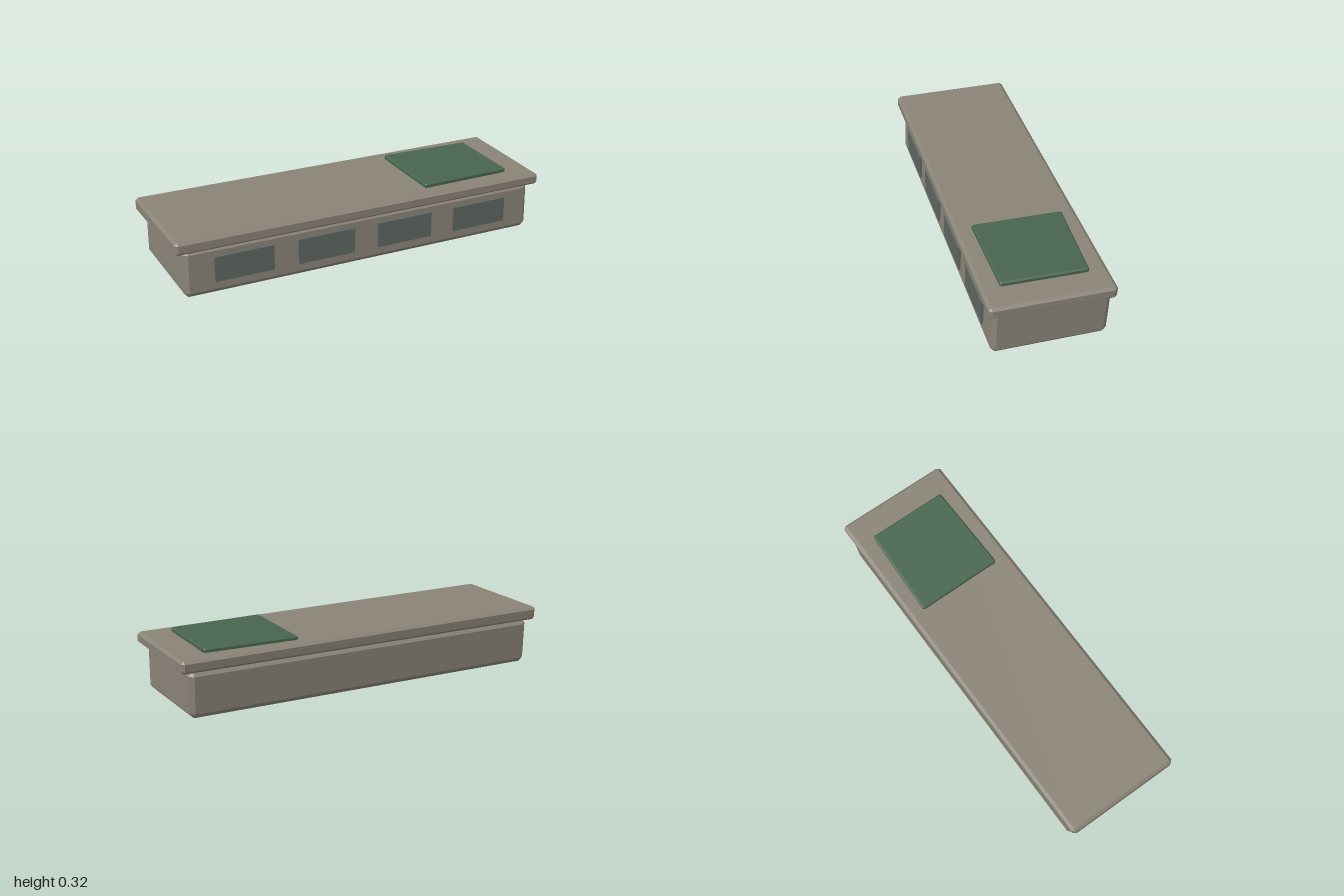
import * as THREE from 'three';
import { ConvexGeometry } from 'three/addons/geometries/ConvexGeometry.js';

// Chamfered, slightly irregular block: corner(sx, sy, sz) places each of the eight corners
function chiselledBlock(corner, bevel) {
  const points = [];
  for (const sx of [-1, 1]) for (const sy of [-1, 1]) for (const sz of [-1, 1]) {
    const [x, y, z] = corner(sx, sy, sz);
    const ix = x - sx * bevel[0], iy = y - sy * bevel[1], iz = z - sz * bevel[2];
    points.push(
      new THREE.Vector3(x, iy, iz),
      new THREE.Vector3(ix, y, iz),
      new THREE.Vector3(ix, iy, z),
    );
  }
  return new ConvexGeometry(points);
}

export function createModel() {
  const group = new THREE.Group();
  const material = (name, color) => {
    const m = new THREE.MeshStandardMaterial({ color });
    m.name = name;
    return m;
  };
  const stone = material('warm grey stone', 0x8a8377);
  const cloth = material('dark green', 0x47654e);
  const panelGrey = material('slate green panel', 0x5e6861);
  const add = (name, geometry, mat) => {
    const mesh = new THREE.Mesh(geometry, mat);
    mesh.name = name;
    group.add(mesh);
    return mesh;
  };

  // Base block, with its underside rising a little to the back
  add('base', chiselledBlock((sx, sy, sz) => [
    sx * 0.952 + (sy > 0 ? 0.002 : -0.001),
    sy > 0 ? 0.245 : (sz > 0 ? 0.001 : 0.01),
    sz > 0 ? (sy > 0 ? 0.274 : 0.281) : (sy > 0 ? -0.29 : -0.278),
  ], [0.022, 0.024, 0.022]), stone);

  // Overhanging top slab
  add('topSlab', chiselledBlock((sx, sy, sz) => [
    sx * 0.997,
    sy > 0 ? (sz > 0 ? 0.303 : 0.308) - sx * 0.003 : 0.241,
    sz > 0 ? 0.303 : (sy > 0 ? -0.305 : -0.301),
  ], [0.014, 0.013, 0.016]), stone);

  // Low green mat, tapering slightly to the right
  add('mat', chiselledBlock((sx, sy, sz) => [
    sx > 0 ? 0.85 : 0.366,
    sy > 0 ? 0.325 : 0.299,
    sz > 0 ? (sx > 0 ? 0.212 : 0.222) : (sx > 0 ? -0.213 : -0.231),
  ], [0.008, 0.006, 0.008]), cloth);

  // Row of four front panels
  for (let i = 0; i < 4; i++) {
    const panel = add('frontPanel' + (i + 1), new THREE.BoxGeometry(0.304, 0.13, 0.02), panelGrey);
    panel.position.set(-0.65 + i * 0.4333, 0.13, 0.279);
  }
  return group;
}
